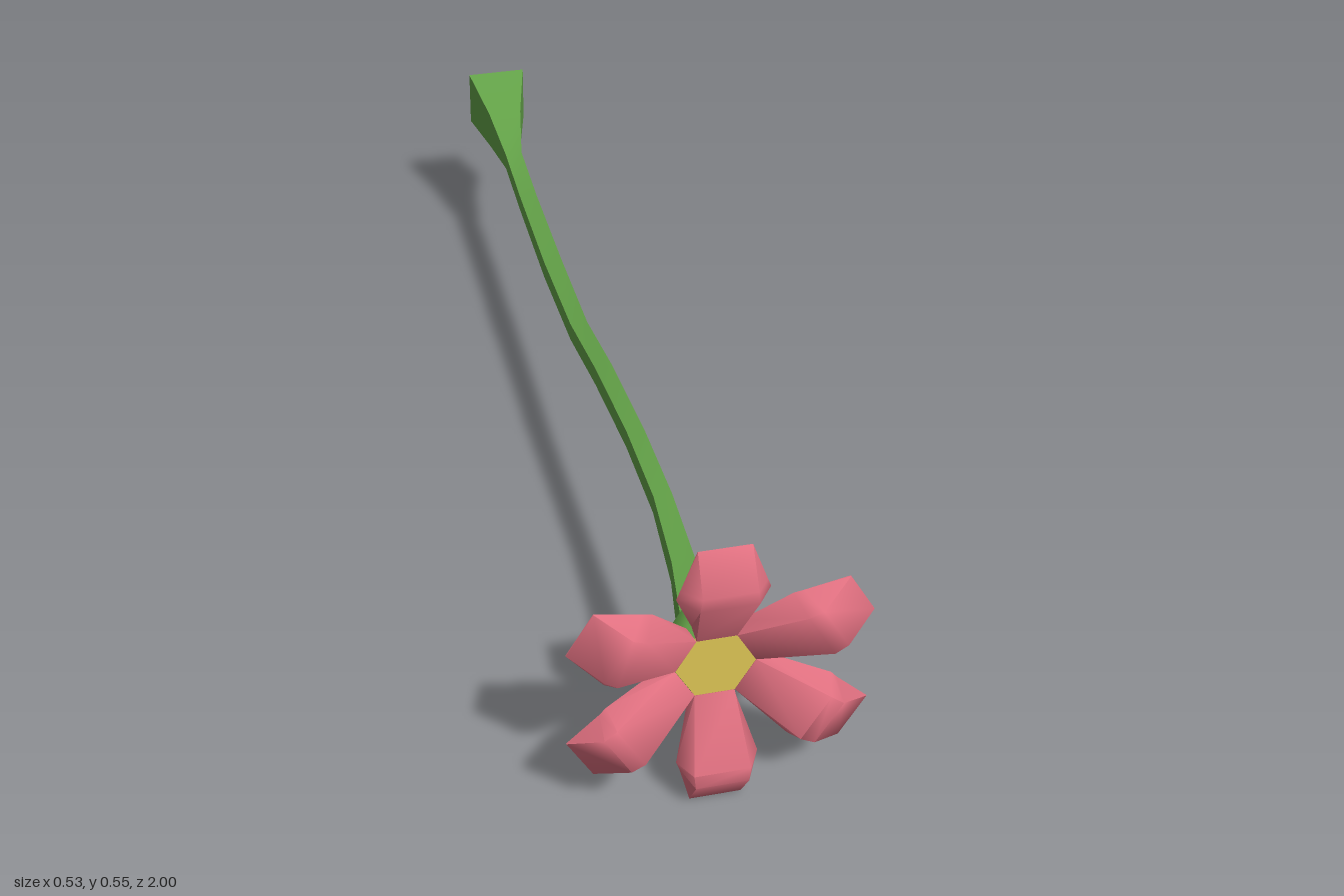
import * as THREE from 'three';
import { toCreasedNormals } from 'three/addons/utils/BufferGeometryUtils.js';

const CENTRE_Y = 0.278;

// Skin four-cornered sections (corners counter-clockwise seen from the far end), cap both ends.
function loft(sections, crease) {
  const index = [];
  const last = (sections.length - 1) * 4;
  for (let r = 0; r < last; r += 4) {
    for (let s = 0; s < 4; s++) {
      const a = r + s, b = r + (s + 1) % 4;
      index.push(a, b, b + 4, a, b + 4, a + 4);
    }
  }
  index.push(0, 2, 1, 0, 3, 2, last, last + 1, last + 2, last, last + 2, last + 3);
  const geometry = new THREE.BufferGeometry();
  geometry.setAttribute('position', new THREE.Float32BufferAttribute(sections.flat(2), 3));
  geometry.setIndex(index);
  return toCreasedNormals(geometry, crease);
}

// Petal pointing along +y, bulging to +z, with its rim bent back.
function petalGeometry(halfWidth) {
  // back radius, back half width, back z, front radius, front half width, front z
  const rows = [
    [0.074, 0.038, 0.905, 0.061, 0.035, 0.93],
    [0.184, halfWidth, 0.957, 0.185, 0.05, 0.997],
    [0.2, halfWidth - 0.006, 0.957, 0.212, 0.047, 0.999],
    [0.277, 0.046, 0.955, 0.277, 0.046, 0.957],
  ];
  return loft(rows.map(([br, bw, bz, fr, fw, fz]) =>
    [[-bw, br, bz], [-fw, fr, fz], [fw, fr, fz], [bw, br, bz]]), 1.2);
}

export function createModel() {
  const flower = new THREE.Group();
  flower.name = 'flower';
  const material = (name, color) => {
    const m = new THREE.MeshStandardMaterial({ color });
    m.name = name;
    return m;
  };
  const pink = material('petal pink', 0xe07080);
  const green = material('stem green', 0x62a047);
  const yellow = material('centre yellow', 0xdcc455);

  const add = (name, geometry, mat, parent = flower) => {
    const mesh = new THREE.Mesh(geometry, mat);
    mesh.name = name;
    parent.add(mesh);
    return mesh;
  };

  // Stem: square section, flared at both ends
  const stem = [ // z, x min, x max, y min, y max
    [-1, -0.064, 0.062, 0.275, 0.396],
    [-0.9, -0.037, 0.035, 0.26, 0.343],
    [-0.8, -0.02, 0.017, 0.255, 0.292],
    [-0.62, -0.022, 0.015, 0.247, 0.283],
    [-0.35, -0.025, 0.013, 0.245, 0.283],
    [-0.1, -0.023, 0.012, 0.252, 0.29],
    [0.1, -0.017, 0.018, 0.279, 0.317],
    [0.33, -0.01, 0.024, 0.294, 0.331],
    [0.53, -0.008, 0.027, 0.292, 0.33],
    [0.7, -0.018, 0.025, 0.272, 0.318],
    [0.83, -0.038, 0.037, 0.246, 0.322],
  ].map(([z, x0, x1, y0, y1]) => [[x0, y0, z], [x1, y0, z], [x1, y1, z], [x0, y1, z]]);
  add('stem', loft(stem, 0.7), green);

  // Flower head
  const head = new THREE.Group();
  head.name = 'flowerHead';
  head.position.y = CENTRE_Y;
  flower.add(head);

  // Six-sided green cup behind the petals
  const cup = [[0, 0.808], [0.042, 0.81], [0.08, 0.855], [0.09, 0.905], [0.07, 0.92]]
    .map(([r, z]) => new THREE.Vector2(r, z));
  add('calyx', new THREE.LatheGeometry(cup, 6, Math.PI / 6).rotateX(Math.PI / 2), green, head);

  // Six-sided yellow centre
  const disc = new THREE.CylinderGeometry(0.07, 0.07, 0.03, 6, 1, false, Math.PI / 6);
  add('flowerCentre', disc.rotateX(Math.PI / 2).translate(0, 0, 0.915), yellow, head);

  // Ring of petals, the upper three a little wider
  for (let i = 0; i < 6; i++) {
    const upper = i < 2 || i === 5;
    const petal = add('petal', petalGeometry(upper ? 0.08 : 0.072), pink, head);
    petal.rotation.z = i * Math.PI / 3;
  }
  return flower;
}
